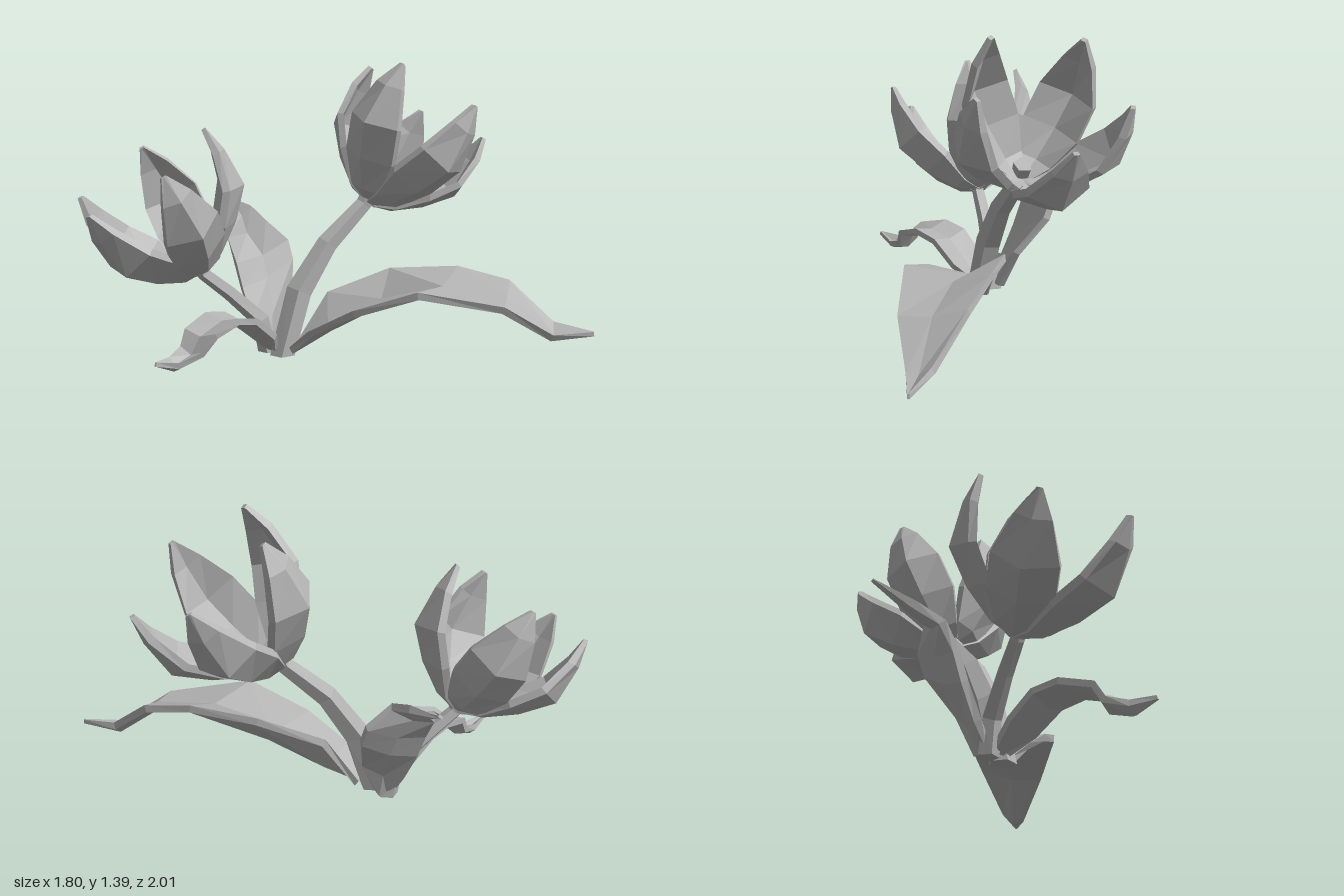
import * as THREE from 'three';

const V = (p) => new THREE.Vector3(...p);
const grey = new THREE.MeshStandardMaterial({ color: 0xb4b4b4 });
grey.name = 'plain grey';

// Closed faceted solid through rings of equal point count
function loft(name, rings) {
  const n = rings[0].length, tris = [];
  const last = rings.length - 1;
  for (let i = 0; i < last; i++) {
    for (let j = 0; j < n; j++) {
      const k = (j + 1) % n;
      const a = rings[i][j], b = rings[i][k], c = rings[i + 1][k], d = rings[i + 1][j];
      tris.push([a, b, c], [a, c, d]);
    }
  }
  // End caps, zigzagged so that thin U-shaped sections fill properly
  for (const [ring, flip] of [[rings[0], true], [rings[last], false]]) {
    let lo = 0, hi = n - 1;
    while (hi - lo > 1) {
      const quad = [[ring[lo], ring[lo + 1], ring[hi]]];
      if (hi - lo > 2) quad.push([ring[lo + 1], ring[hi - 1], ring[hi]]);
      for (const t of quad) tris.push(flip ? [t[0], t[2], t[1]] : t);
      lo++; hi--;
    }
  }
  // Make all faces point outwards
  let volume = 0;
  const origin = rings[0][0], e = (p) => p.clone().sub(origin);
  for (const [a, b, c] of tris) volume += e(a).dot(e(b).cross(e(c)));
  const pos = [];
  for (const [a, b, c] of tris) {
    for (const p of volume < 0 ? [a, c, b] : [a, b, c]) pos.push(p.x, p.y, p.z);
  }
  const geo = new THREE.BufferGeometry();
  geo.setAttribute('position', new THREE.Float32BufferAttribute(pos, 3));
  geo.computeVertexNormals();
  const mesh = new THREE.Mesh(geo, grey);
  mesh.name = name;
  return mesh;
}

// Thick blade from rows of [left, centre, right]
function blade(name, rows, thickness) {
  const rings = rows.map(([l, c, r], i) => {
    const along = rows[Math.min(i + 1, rows.length - 1)][1].clone().sub(rows[Math.max(i - 1, 0)][1]);
    const off = r.clone().sub(l).cross(along).normalize()
      .multiplyScalar(thickness / 2 * (i === rows.length - 1 ? 0.6 : 1));
    const up = (p) => p.clone().add(off), down = (p) => p.clone().sub(off);
    return [up(l), up(c), up(r), down(r), down(c), down(l)];
  });
  return loft(name, rings);
}

// Leaf from pairs of edge points, sagging along the middle unless a keel point is given
function leaf(name, pairs, sag, thickness) {
  const rows = pairs.map(([l, r, keel], i) => {
    const c = keel ? V(keel) : V(l).lerp(V(r), 0.5);
    if (!keel && i > 0 && i < pairs.length - 1) c.y -= sag;
    return [V(l), c, V(r)];
  });
  return blade(name, rows, thickness);
}

// Five-sided tapered stem through [x, y, z, radius]
function stem(name, points) {
  const rings = points.map((p, i) => {
    const a = V(points[Math.max(i - 1, 0)].slice(0, 3));
    const b = V(points[Math.min(i + 1, points.length - 1)].slice(0, 3));
    const dir = i === 0 ? new THREE.Vector3(0, 1, 0) : b.sub(a).normalize();
    const q = new THREE.Quaternion().setFromUnitVectors(new THREE.Vector3(0, 1, 0), dir);
    return Array.from({ length: 5 }, (_, j) => {
      const t = j / 5 * Math.PI * 2;
      return new THREE.Vector3(Math.cos(t) * p[3], 0, Math.sin(t) * p[3])
        .applyQuaternion(q).add(V(p.slice(0, 3)));
    });
  });
  return loft(name, rings);
}

// Petal profile: [along chord, outward bulge, half width, inward edge curl]
const PROFILE = [
  [0, 0, 0.03, 0],
  [0.13, 0.12, 0.085, 0.025],
  [0.36, 0.215, 0.14, 0.065],
  [0.61, 0.265, 0.138, 0.08],
  [0.85, 0.125, 0.075, 0.03],
  [1, 0, 0.012, 0],
];

function flower(name, base, axis, tips) {
  const group = new THREE.Group();
  group.name = name;
  for (const tip of tips) {
    const chord = V(tip).sub(V(base)), len = chord.length();
    const dir = chord.clone().normalize();
    const out = V(axis).addScaledVector(dir, -V(axis).dot(dir)).normalize().negate();
    const side = dir.clone().cross(out);
    const rows = PROFILE.map(([t, bulge, w, curl]) => {
      const c = V(base).addScaledVector(chord, t).addScaledVector(out, bulge * len);
      const edge = (s) => c.clone().addScaledVector(side, s * w).addScaledVector(out, -curl);
      return [edge(-1), c, edge(1)];
    });
    group.add(blade('petal', rows, 0.035));
  }
  return group;
}

export function createModel() {
  const model = new THREE.Group();
  model.name = 'twoFlowers';

  // Stems
  model.add(stem('tallStem', [
    [-0.06, 0, -0.28, 0.062], [0.03, 0.3, -0.25, 0.064], [0.16, 0.52, -0.18, 0.052],
    [0.33, 0.7, -0.09, 0.04], [0.375, 0.79, -0.06, 0.045],
  ]));
  model.add(stem('shortStem', [
    [-0.05, 0, -0.38, 0.05], [-0.08, 0.16, -0.4, 0.045], [-0.2, 0.3, -0.49, 0.037],
    [-0.3, 0.4, -0.56, 0.033], [-0.34, 0.49, -0.58, 0.037],
  ]));

  // Flower heads
  model.add(flower('tallFlower', [0.36, 0.71, -0.07], [0.23, 0.52, 0.16], [
    [0.34, 1.38, 0.13], [0.57, 1.35, -0.22], [0.51, 1.19, 0.42],
    [0.89, 1.12, -0.13], [0.88, 1.0, 0.25],
  ]));
  model.add(flower('shortFlower', [-0.31, 0.42, -0.57], [-0.25, 0.5, -0.16], [
    [-0.34, 1.09, -0.51], [-0.73, 0.92, -0.38], [-0.89, 0.74, -0.68],
    [-0.67, 0.77, -0.99], [-0.35, 0.98, -0.91],
  ]));

  // Long arching leaf at the front, with a deep keel near its base
  model.add(leaf('frontLeaf', [
    [[-0.07, 0.03, -0.22], [0.02, 0.03, -0.25]],
    [[-0.08, 0.13, -0.1], [0.16, 0.27, -0.17], [0.1, 0.12, -0.12]],
    [[-0.03, 0.25, 0.12], [0.37, 0.38, 0.05], [0.26, 0.25, 0.08]],
    [[0.08, 0.355, 0.4], [0.52, 0.4, 0.34], [0.34, 0.335, 0.37]],
    [[0.33, 0.285, 0.7], [0.6, 0.35, 0.57]],
    [[0.52, 0.14, 0.85], [0.615, 0.18, 0.8]],
    [[0.655, 0.155, 0.995], [0.662, 0.155, 0.99]],
  ], 0.02, 0.035));

  // Small drooping leaf at the side
  model.add(leaf('sideLeaf', [
    [[-0.09, 0.03, -0.29], [-0.07, 0.03, -0.37]],
    [[-0.18, 0.12, -0.22], [-0.18, 0.13, -0.42]],
    [[-0.31, 0.22, -0.22], [-0.3, 0.22, -0.44]],
    [[-0.43, 0.245, -0.22], [-0.42, 0.24, -0.44]],
    [[-0.56, 0.2, -0.24], [-0.57, 0.2, -0.42]],
    [[-0.61, 0.12, -0.28], [-0.61, 0.13, -0.41]],
    [[-0.71, 0.085, -0.32], [-0.71, 0.1, -0.39]],
    [[-0.82, 0.11, -0.355], [-0.82, 0.11, -0.365]],
  ], 0.025, 0.03));

  // Upright twisted leaf at the back
  model.add(leaf('backLeaf', [
    [[-0.07, 0.02, -0.39], [0.01, 0.02, -0.37]],
    [[-0.06, 0.13, -0.47], [0.11, 0.22, -0.36]],
    [[-0.045, 0.28, -0.55], [0.22, 0.4, -0.45]],
    [[-0.035, 0.4, -0.6], [0.23, 0.49, -0.49]],
    [[-0.01, 0.51, -0.67], [0.15, 0.59, -0.56]],
    [[0.09, 0.59, -0.73], [0.19, 0.64, -0.69]],
    [[0.205, 0.68, -0.87], [0.215, 0.67, -0.87]],
  ], 0.02, 0.035));

  return model;
}
